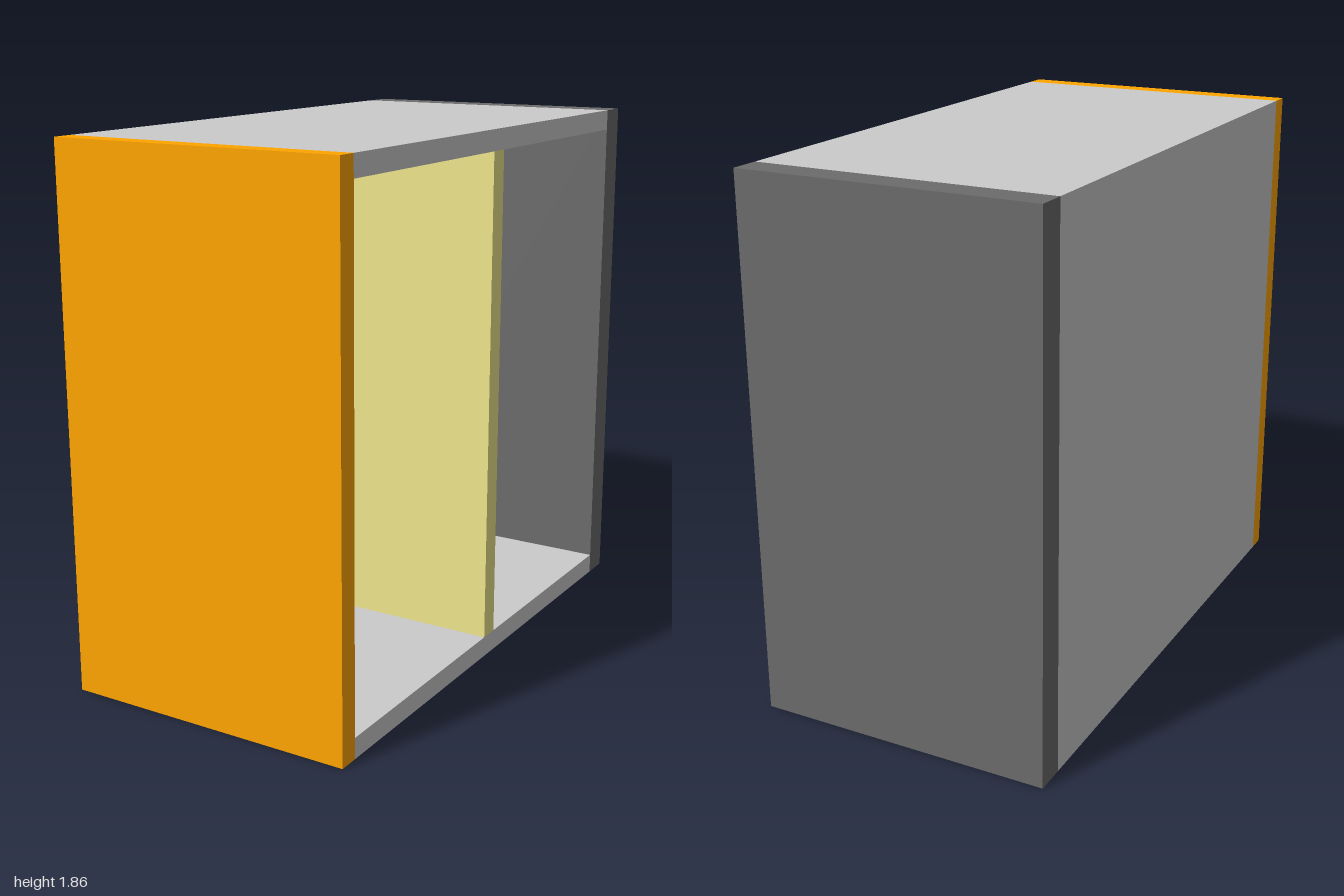
import * as THREE from 'three';

const HALF_W = 0.522, H = 1.86, T = 0.072;
const FRONT = 0.928, BACK = -0.895; // z limits of the grey carcass

export function createModel() {
  const group = new THREE.Group();

  // Flat board given by its limits on each axis
  const board = (name, color, [x0, x1], [y0, y1], [z0, z1]) => {
    const mesh = new THREE.Mesh(
      new THREE.BoxGeometry(x1 - x0, y1 - y0, z1 - z0),
      new THREE.MeshStandardMaterial({ color })
    );
    mesh.position.set((x0 + x1) / 2, (y0 + y1) / 2, (z0 + z1) / 2);
    mesh.name = name;
    group.add(mesh);
  };

  const width = [-HALF_W, HALF_W], inner = [-HALF_W + T, HALF_W];
  const depth = [BACK, FRONT], clear = [T, H - T];

  // Carcass: bottom, top and the single closed side
  board('bottomPanel', 0xcccccc, width, [0, T], depth);
  board('topPanel', 0xcccccc, width, [H - T, H], depth);
  board('sidePanel', 0xcccccc, [-HALF_W, -HALF_W + T], clear, depth);

  // Full-height front and thicker back
  board('frontPanel', 0xffa500, width, [0, H], [FRONT, 1]);
  board('backPanel', 0x6c6c6c, width, [0, H], [-1, BACK]);

  // Upright divider in the middle of the opening
  board('divider', 0xf0e68c, inner, clear, [-0.018, 0.054]);

  return group;
}
